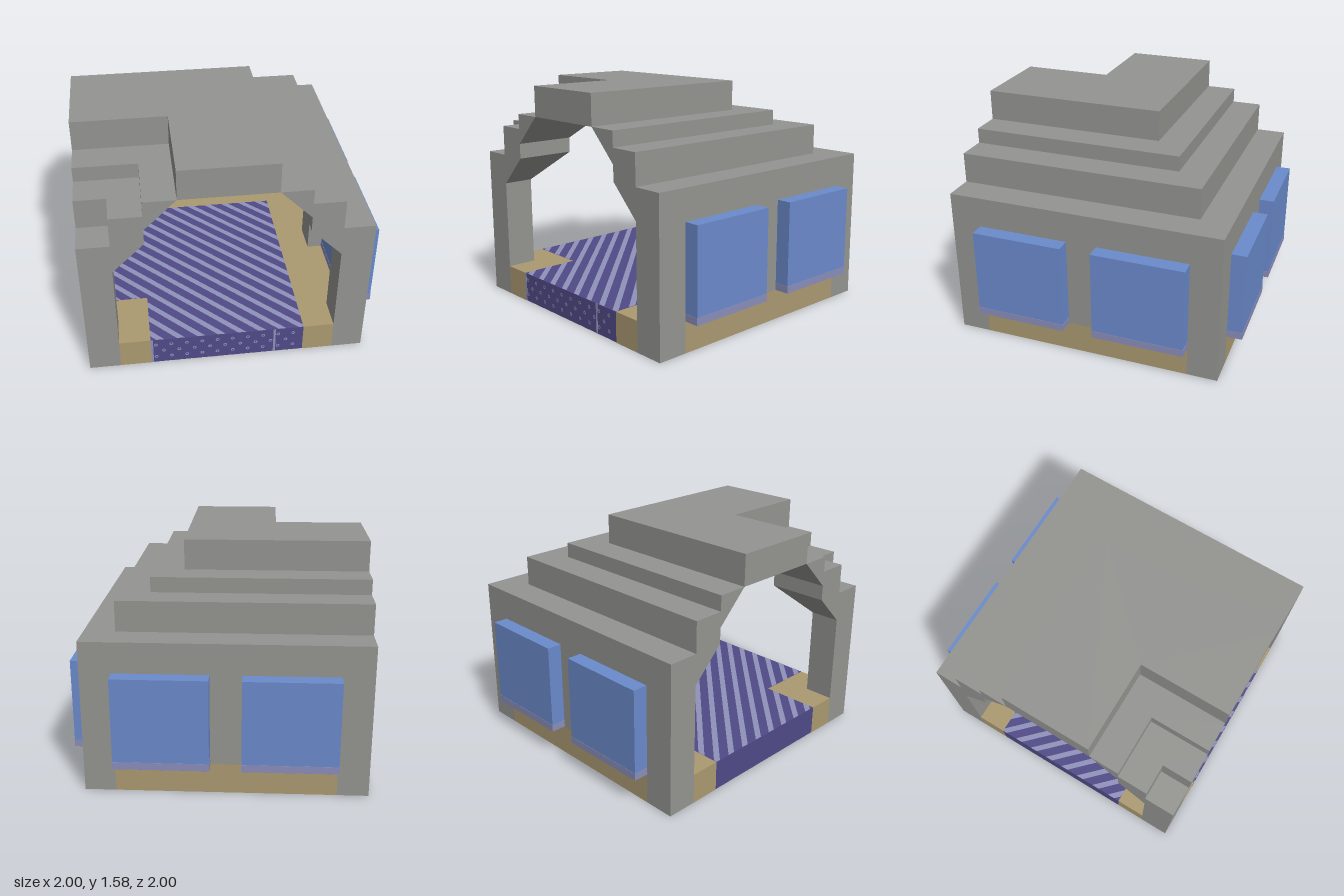
import * as THREE from 'three';
import { mergeGeometries } from 'three/addons/utils/BufferGeometryUtils.js';

const U = 2 / 9.5;             // one block
const g = n => -1 + n * U;     // block line to position across the corridor

export function createModel() {
  const model = new THREE.Group();
  const paint = (name, color) => {
    const m = new THREE.MeshStandardMaterial({ color });
    m.name = name;
    return m;
  };
  const stone = paint('grey stone', 0x949491);
  const sand = paint('sand', 0xab9a71);
  const glass = paint('blue glass', 0x6b8bcc);
  const haze = paint('lavender haze', 0x8a8eba);
  const carpet = paint('purple carpet', 0x504a87);
  const pattern = paint('pale pattern', 0x8f91ba);
  pattern.side = THREE.DoubleSide;

  const add = (name, geometry, material) => {
    const mesh = new THREE.Mesh(geometry, material);
    mesh.name = name;
    model.add(mesh);
    return mesh;
  };

  // Sweep a cross-section round the mitred corner, from the front end to the -x end.
  function sweep(name, points, material) {
    const shape = new THREE.Shape(points.map(([s, y]) => new THREE.Vector2(s, y)));
    for (const leg of [0, 1]) {
      const geo = new THREE.ExtrudeGeometry(shape, { depth: 1, bevelEnabled: false });
      const p = geo.attributes.position;
      for (let i = 0; i < p.count; i++) {
        const s = p.getX(i), y = p.getY(i), t = p.getZ(i);
        if (leg === 0) p.setXYZ(i, s, y, -s + t * (1 + s));
        else p.setXYZ(i, -1 + t * (1 + s), y, -s);
      }
      geo.computeVertexNormals();
      add(name + (leg ? 'Side' : 'Front'), geo, material);
    }
  }
  const rect = (a, b, y0, y1) => [[a, y0], [b, y0], [b, y1], [a, y1]];

  function box(name, x0, x1, y0, y1, z0, z1, material) {
    add(name, new THREE.BoxGeometry(x1 - x0, y1 - y0, z1 - z0), material)
      .position.set((x0 + x1) / 2, (y0 + y1) / 2, (z0 + z1) / 2);
  }
  // A box and its twin across the mitre plane
  function twin(name, x0, x1, y0, y1, z0, z1, material) {
    box(name + 'East', x0, x1, y0, y1, z0, z1, material);
    box(name + 'Back', -z1, -z0, y0, y1, -x1, -x0, material);
  }

  // Stepped vault: two haunches and the top slab
  const steps = [[0, 4], [0, 5], [1, 5], [1, 6], [2, 6], [2, 6.5], [3, 6.5], [2, 5.5], [2, 5], [1, 4]];
  const inner = steps.map(([n, h]) => [g(n), h * U]);
  const outer = steps.map(([n, h]) => [g(9 - n), h * U]);
  sweep('innerVault', inner, stone);
  sweep('outerVault', outer, stone);
  sweep('roofSlab', rect(g(3), g(6), 6.5 * U, 7.5 * U), stone);

  // Pillars
  box('innerPillar', -1, g(1), 0, 4 * U, -g(1), 1, stone);
  box('cornerPillar', g(8), g(9), 0, 4 * U, -g(9), -g(8), stone);
  twin('endPillar', g(8), g(9), 0, 4 * U, -g(1), 1, stone);
  twin('middlePillar', g(8), g(9), U, 4 * U, -g(5), -g(4), stone);

  // Floor: sand edges with a carpet between
  sweep('innerFloorEdge', rect(g(1), g(2), 0, U), sand);
  sweep('outerFloorEdge', rect(g(7), g(8), 0, U), sand);
  twin('wallBase', g(8), g(9), 0, U, -g(8), -g(1), sand);
  sweep('carpetFloor', rect(g(2), g(7), 0.003, U), carpet);

  // Bay windows with a hazy band along the sill
  for (const [a, b] of [[1, 4], [5, 8]]) {
    twin('window', g(8.5), 0.998, U, 4 * U, -g(b), -g(a), glass);
    twin('windowSill', g(8.5) - 0.002, 1, U + 0.002, 0.262, -g(b) - 0.002, -g(a) + 0.002, haze);
  }

  // Keep the part of a flat polygon where f >= 0
  function clip(poly, f) {
    const out = [];
    poly.forEach((p, i) => {
      const q = poly[(i + 1) % poly.length], a = f(p), b = f(q);
      if (a >= 0) out.push(p);
      if (a * b < 0) out.push(p.map((v, k) => v + (q[k] - v) * a / (a - b)));
    });
    return out;
  }
  // Diagonal carpet stripes over and under the floor
  function stripes(name, y, slope) {
    const areas = [rect(g(2), g(7), -g(7), 1), rect(-1, g(2), -g(7), -g(2))];
    const verts = [];
    for (const area of areas) {
      for (let c = -2.1; c < 2.1; c += 0.14) {
        const d = ([x, z]) => x + slope * z - c;
        const poly = clip(clip(area, d), p => 0.055 - d(p));
        for (let i = 1; i + 1 < poly.length; i++) {
          for (const [x, z] of [poly[0], poly[i + 1], poly[i]]) verts.push(x, y, z);
        }
      }
    }
    const geo = new THREE.BufferGeometry();
    geo.setAttribute('position', new THREE.Float32BufferAttribute(verts, 3));
    // Faces wound upward; the underside set is turned over
    if (y < 0.1) for (let i = 0; i < verts.length; i += 9) {
      const p = geo.attributes.position;
      p.setXYZ(i / 3 + 1, verts[i + 6], y, verts[i + 8]);
      p.setXYZ(i / 3 + 2, verts[i + 3], y, verts[i + 5]);
    }
    geo.computeVertexNormals();
    add(name, geo, pattern);
  }
  stripes('carpetStripes', U + 0.002, -1);
  stripes('undersideStripes', 0.0005, 1);

  // Small rings on the front edge of the carpet
  const rings = [];
  for (let row = 0; row < 3; row++) {
    for (let i = 0; i < 10; i++) {
      const x = g(2) + 0.035 + i * U / 2 + (row % 2 ? 0.053 : 0);
      if (x < g(7) - 0.02) rings.push(new THREE.RingGeometry(0.006, 0.014, 8).translate(x, 0.055 + row * 0.055, 1.002));
    }
  }
  add('carpetRings', mergeGeometries(rings), pattern);
  // Pale seams on the front edge
  for (const x of [g(2) + 0.008, g(6) + 0.01]) box('carpetSeam', x - 0.008, x + 0.008, 0.003, U, 0.999, 1.002, pattern);

  return model;
}
